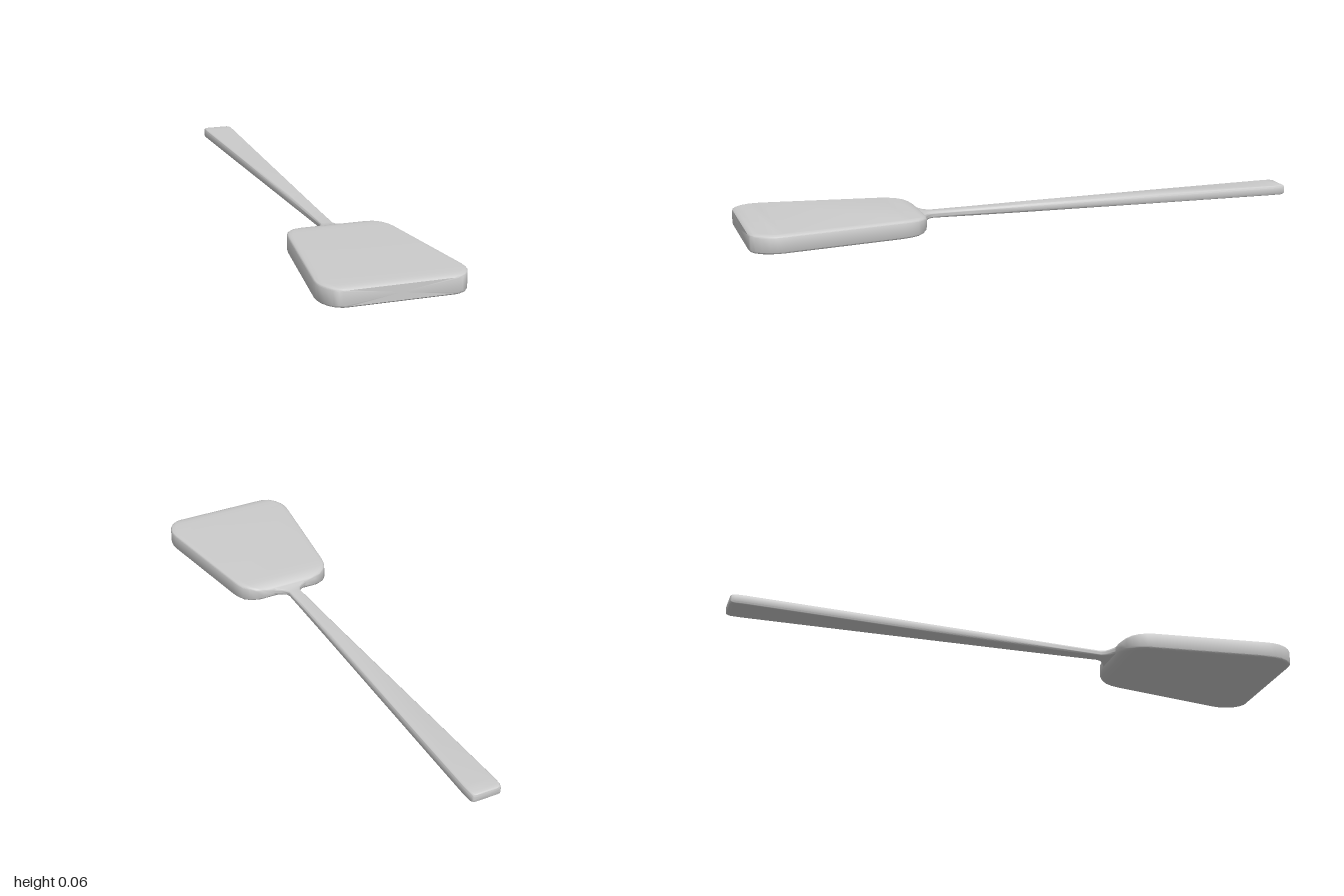
import * as THREE from 'three';
import { toCreasedNormals } from 'three/addons/utils/BufferGeometryUtils.js';

const material = new THREE.MeshStandardMaterial({ color: 0xcccccc });
const ARC = 5; // steps per rounded corner

// Rounded-rectangle section, counter-clockwise seen from +z
function section([z, w, y0, y1], rx, ry) {
  const h = (y1 - y0) / 2, cy = (y0 + y1) / 2;
  const cx = Math.min(rx, w * 0.6), cv = Math.min(ry, h * 0.7);
  const points = [];
  [[1, 1], [-1, 1], [-1, -1], [1, -1]].forEach(([sx, sy], k) => {
    for (let i = 0; i <= ARC; i++) {
      const a = (k + i / ARC) * Math.PI / 2;
      points.push([sx * (w - cx) + cx * Math.cos(a), cy + sy * (h - cv) + cv * Math.sin(a), z]);
    }
  });
  return points;
}

// Skin sections [z, halfWidth, bottom, top] ordered from back to front
function loft(name, stations, rx, ry) {
  const rings = stations.map(s => section(s, rx, ry));
  const n = rings[0].length, last = (rings.length - 1) * n;
  const positions = rings.flat(2), index = [];
  for (let i = 0; i < rings.length - 1; i++) {
    for (let j = 0; j < n; j++) {
      const a = i * n + j, b = i * n + (j + 1) % n;
      index.push(a, b, b + n, a, b + n, a + n);
    }
  }
  // Flat end caps
  const back = rings.length * n, front = back + 1;
  for (const s of [stations[0], stations[stations.length - 1]]) positions.push(0, (s[2] + s[3]) / 2, s[0]);
  for (let j = 0; j < n; j++) {
    const k = (j + 1) % n;
    index.push(back, k, j, front, last + j, last + k);
  }
  const geometry = new THREE.BufferGeometry();
  geometry.setAttribute('position', new THREE.Float32BufferAttribute(positions, 3));
  geometry.setIndex(index);
  const mesh = new THREE.Mesh(toCreasedNormals(geometry, 0.7), material);
  mesh.name = name;
  return mesh;
}

export function createModel() {
  const group = new THREE.Group();
  group.name = 'spatula';

  // Thick blade, widening to the front edge
  group.add(loft('blade', [
    [0.375, 0.075, 0.024, 0.046],
    [0.380, 0.105, 0.017, 0.052],
    [0.390, 0.133, 0.010, 0.057],
    [0.405, 0.153, 0.005, 0.061],
    [0.425, 0.169, 0.002, 0.063],
    [0.450, 0.179, 0.001, 0.064],
    [0.480, 0.185, 0, 0.065],
    [0.860, 0.238, 0, 0.065],
    [0.890, 0.242, 0, 0.065],
    [0.915, 0.243, 0, 0.065],
    [0.940, 0.239, 0, 0.065],
    [0.965, 0.228, 0, 0.065],
    [0.985, 0.213, 0.001, 0.064],
    [0.996, 0.199, 0.003, 0.062],
    [1.000, 0.188, 0.007, 0.058],
  ], 0.022, 0.008));

  // Slim handle, flaring into the blade at the neck
  group.add(loft('handle', [
    [-1.000, 0.046, 0.023, 0.048],
    [-0.997, 0.051, 0.020, 0.051],
    [-0.985, 0.055, 0.018, 0.053],
    [-0.950, 0.056, 0.018, 0.053],
    [-0.500, 0.043, 0.019, 0.052],
    [0.000, 0.029, 0.021, 0.050],
    [0.200, 0.025, 0.023, 0.048],
    [0.335, 0.023, 0.025, 0.047],
    [0.350, 0.029, 0.025, 0.047],
    [0.362, 0.042, 0.024, 0.047],
    [0.373, 0.060, 0.023, 0.048],
    [0.385, 0.085, 0.022, 0.049],
  ], 0.008, 0.008));

  return group;
}
